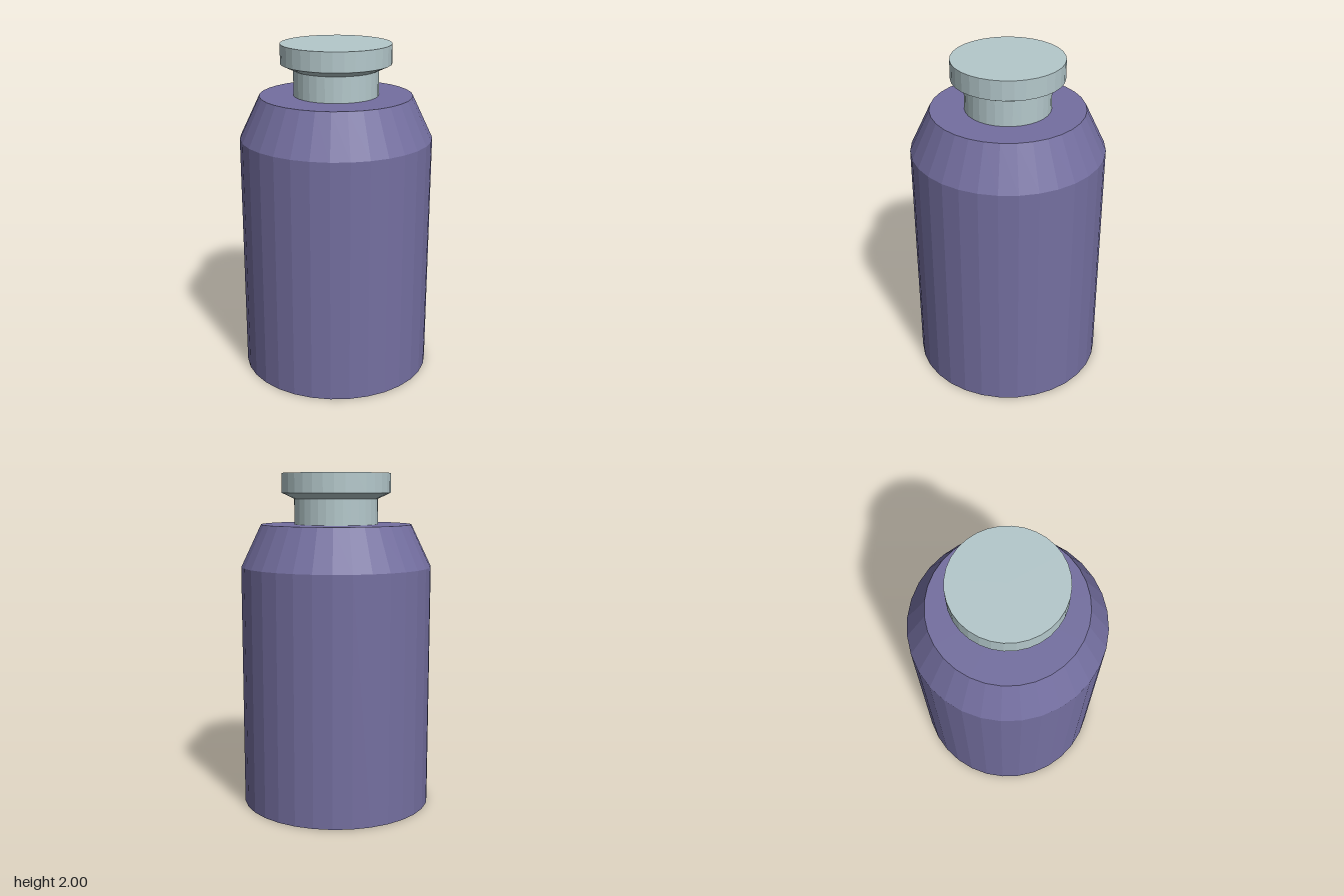
import * as THREE from 'three';

const SIDES = 32;

// Faceted turned part from [radius, height] pairs, listed bottom to top
function turned(name, profile, material) {
  const points = profile.map(([r, y]) => new THREE.Vector2(r, y));
  const mesh = new THREE.Mesh(new THREE.LatheGeometry(points, SIDES), material);
  mesh.name = name;
  return mesh;
}

export function createModel() {
  const purple = new THREE.MeshStandardMaterial({ color: 0x746fa0, flatShading: true });
  purple.name = 'purple body';
  const paleGrey = new THREE.MeshStandardMaterial({ color: 0xb4c8cb, flatShading: true });
  paleGrey.name = 'pale grey stopper';

  const bottle = new THREE.Group();
  bottle.name = 'bottle';

  // Straight body with a sloping shoulder and flat top
  bottle.add(turned('body', [[0, 0], [0.57, 0], [0.57, 1.45], [0.45, 1.7], [0, 1.7]], purple));

  // Neck rising from the shoulder
  bottle.add(turned('neck', [[0.25, 1.7], [0.25, 1.85]], paleGrey));

  // Cap with a bevelled underside
  bottle.add(turned('cap', [[0.25, 1.85], [0.325, 1.885], [0.325, 2], [0, 2]], paleGrey));

  return bottle;
}
